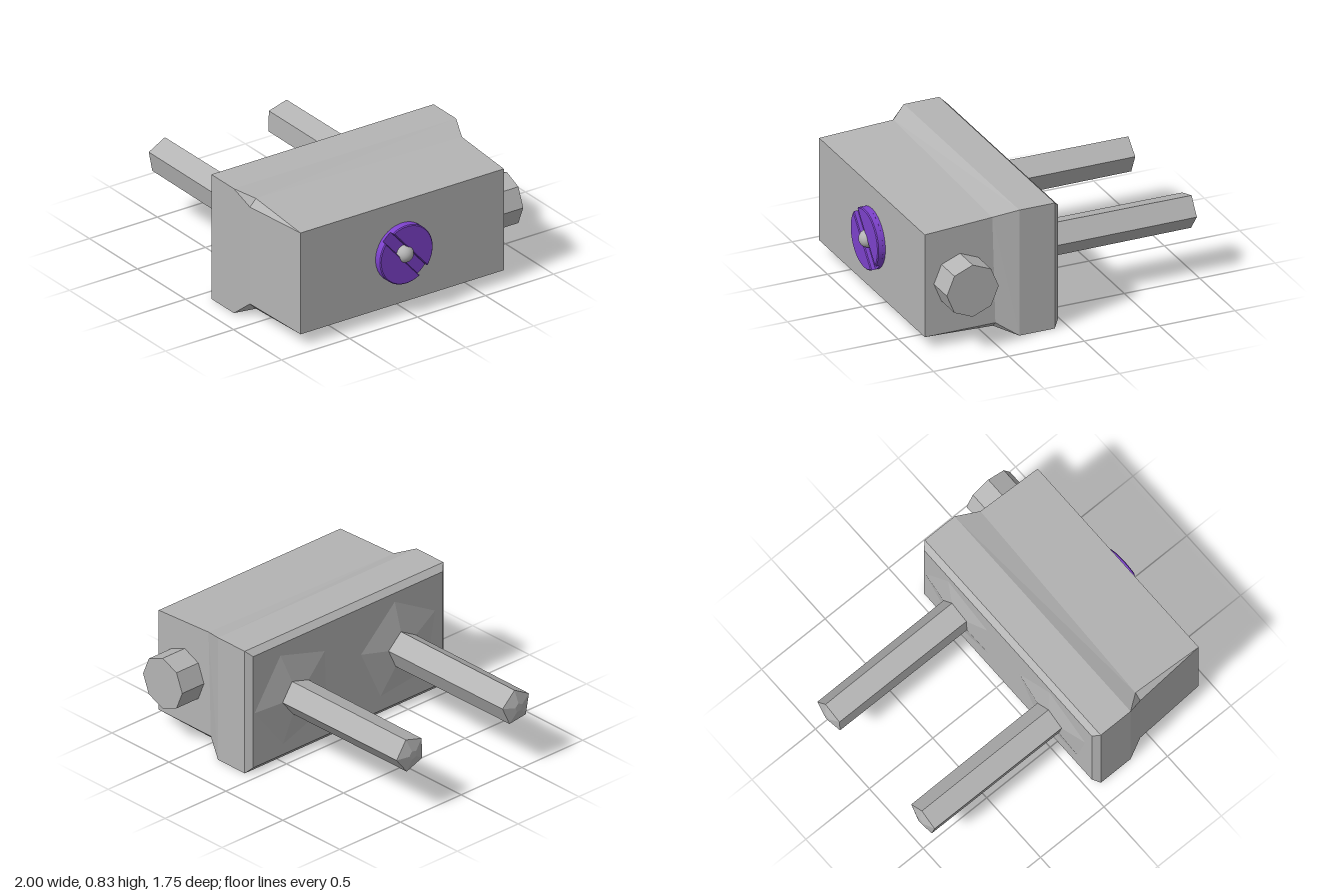
import * as THREE from 'three';

const grey = new THREE.MeshStandardMaterial({ color: 0xb4b4b4, flatShading: true });
grey.name = 'grey metal';
const smoothGrey = new THREE.MeshStandardMaterial({ color: 0xb4b4b4 });
smoothGrey.name = 'smooth grey metal';
const purple = new THREE.MeshStandardMaterial({ color: 0x7d42cc, flatShading: true });
purple.name = 'purple';

function addMesh(parent, name, geometry, material) {
  const mesh = new THREE.Mesh(geometry, material);
  mesh.name = name;
  parent.add(mesh);
  return mesh;
}

// Rectangular cross-section with corner cuts; c = [top back, top front, bottom front, bottom back]
function section(x, y0, y1, z0, z1, c = [0, 0, 0, 0], backX = [x, x]) {
  return [
    [backX[0], y1, z0 + c[0]], [x, y1, z1 - c[1]],
    [x, y1 - c[1], z1], [x, y0 + c[2], z1],
    [x, y0, z1 - c[2]], [backX[1], y0, z0 + c[3]],
    [backX[1], y0 + c[3], z0], [backX[0], y1 - c[0], z0],
  ];
}

// Skin a list of equal rings that advance along +x, with both ends capped
function loft(rings) {
  const n = rings[0].length;
  const index = [];
  for (let s = 0; s < rings.length - 1; s++) {
    for (let i = 0; i < n; i++) {
      const a = s * n + i, b = s * n + (i + 1) % n;
      index.push(a, b, b + n, a, b + n, a + n);
    }
  }
  const last = (rings.length - 1) * n;
  for (let i = 1; i < n - 1; i++) {
    index.push(0, i + 1, i, last, last + i, last + i + 1);
  }
  const geo = new THREE.BufferGeometry();
  geo.setAttribute('position', new THREE.Float32BufferAttribute(rings.flat(2), 3));
  geo.setIndex(index);
  const flat = geo.toNonIndexed();
  flat.computeVertexNormals();
  return flat;
}

// Five-sided bar piece running from x0 (rear) to x1 (body side)
function pentagon(x0, x1, r0, r1, angle) {
  return new THREE.CylinderGeometry(r0, r1, x1 - x0, 5, 1, false, angle)
    .rotateZ(Math.PI / 2)
    .translate((x0 + x1) / 2, 0, 0);
}

export function createModel() {
  const model = new THREE.Group();
  model.name = 'plugDevice';

  // Body: wide flange, sloped shoulder and tapered housing
  addMesh(model, 'body', loft([
    section(0.048, 0.04, 0.80, -0.73, 0.83),
    section(0.085, 0, 0.835, -0.765, 0.87),
    section(0.32, 0, 0.835, -0.765, 0.87),
    section(0.43, 0.05, 0.79, -0.702, 0.83, [0, 0.045, 0.045, 0.035], [0.47, 0.45]),
    section(0.915, 0.08, 0.76, -0.695, 0.80),
  ]), grey);

  // Two prongs with shallow tips and flared roots
  const prongs = [
    { name: 'backProng', z: -0.395, angle: 110 },
    { name: 'frontProng', z: 0.475, angle: 97 },
  ];
  for (const { name, z, angle } of prongs) {
    const a = THREE.MathUtils.degToRad(angle);
    const prong = new THREE.Group();
    prong.name = name;
    prong.position.set(0, 0.42, z);
    addMesh(prong, 'prongShaft', pentagon(-0.977, 0.04, 0.115, 0.119, a), grey);
    addMesh(prong, 'prongTip', pentagon(-1, -0.977, 0.03, 0.115, a), grey);
    addMesh(prong, 'prongRoot', pentagon(0.02, 0.049, 0.122, 0.33, a), grey);
    model.add(prong);
  }

  // Eight-sided knob on the back end
  const knob = addMesh(model, 'knob',
    new THREE.CylinderGeometry(0.172, 0.172, 0.2, 8).rotateX(Math.PI / 2), grey);
  knob.position.set(0.683, 0.42, -0.78);

  // Slotted dial on the left face
  const dial = new THREE.Group();
  dial.name = 'dial';
  dial.position.set(0.915, 0.42, 0.055);
  dial.rotation.set(0, Math.PI / 2, -0.846);
  const radius = 0.194, bevel = 0.006;
  const base = addMesh(dial, 'dialBase',
    new THREE.CylinderGeometry(radius, radius, 0.03, 40).rotateX(Math.PI / 2), purple);
  base.position.z = 0.006;
  const start = Math.asin(0.037 / radius);
  for (const side of [0, Math.PI]) {
    const half = new THREE.Shape();
    half.absarc(0, 0, radius, start, Math.PI - start, false);
    half.closePath();
    const geo = new THREE.ExtrudeGeometry(half, {
      depth: 0.028, curveSegments: 20, bevelEnabled: true,
      bevelThickness: bevel, bevelSize: bevel, bevelOffset: -bevel, bevelSegments: 1,
    });
    const mesh = addMesh(dial, 'dialHalf', geo, purple);
    mesh.position.z = 0.017;
    mesh.rotation.z = side;
  }
  // Round stud in the middle of the dial
  const stud = addMesh(dial, 'stud', new THREE.SphereGeometry(0.056, 24, 16), smoothGrey);
  stud.position.z = 0.027;
  model.add(dial);

  return model;
}
